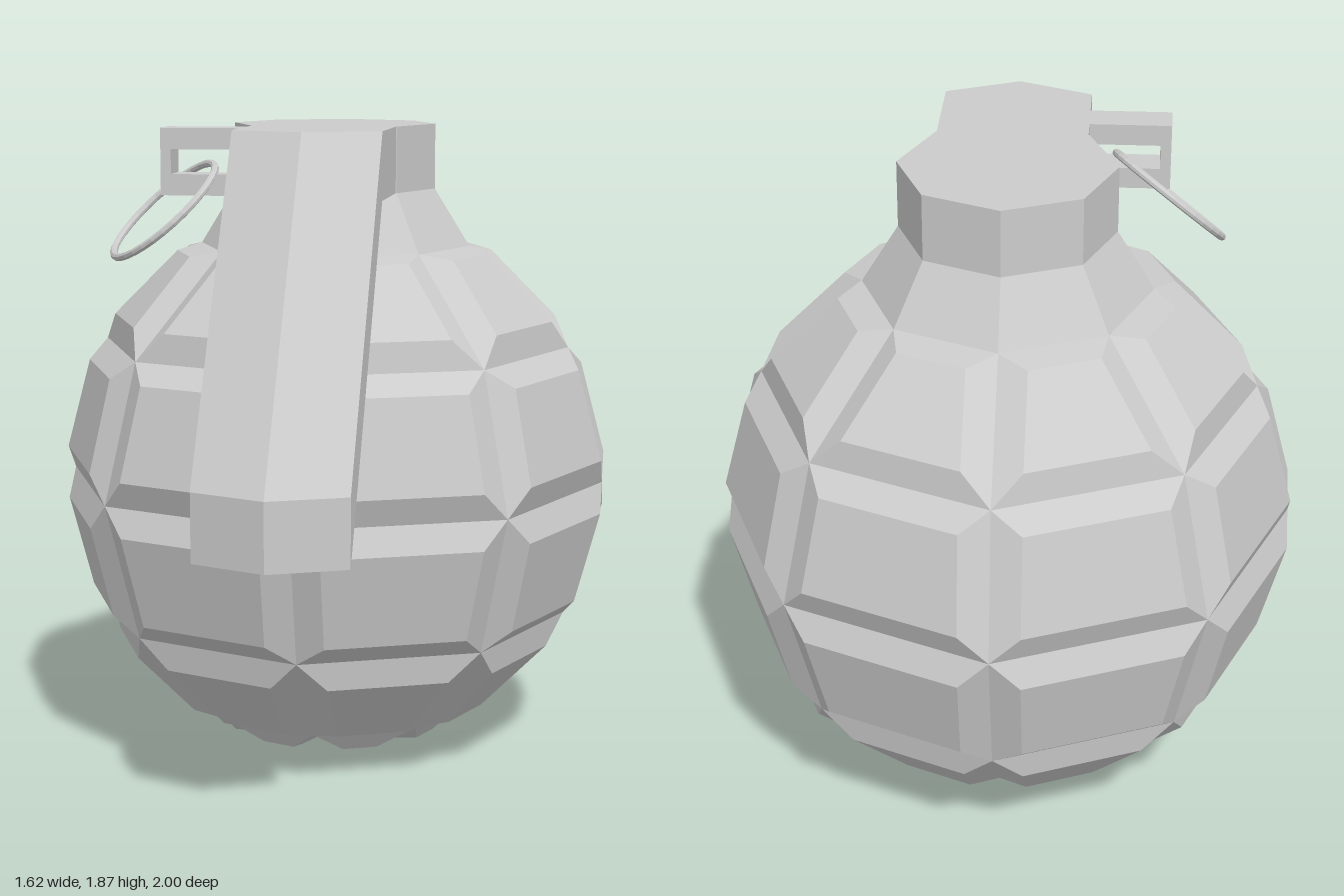
import * as THREE from 'three';

const V = (x, y, z) => new THREE.Vector3(x, y, z);
const material = new THREE.MeshStandardMaterial({ color: 0xcccccc, flatShading: true });
const BODY_Z = -0.19, SIDES = 8, R = 0.81;

// Fan-triangulates convex polygons into a flat-shaded geometry
function polygons(faces) {
  const pts = [];
  for (const f of faces)
    for (let i = 1; i < f.length - 1; i++) pts.push(f[0], f[i], f[i + 1]);
  const geo = new THREE.BufferGeometry().setFromPoints(pts);
  geo.computeVertexNormals();
  return geo;
}

function add(parent, name, geo) {
  const mesh = new THREE.Mesh(geo, material);
  mesh.name = name;
  parent.add(mesh);
  return mesh;
}

// Insets a polygon by d, raises it by h, and returns the panel with its bevels
function raisedPanel(face, d, h) {
  const n = face.length;
  const normal = face[1].clone().sub(face[0]).cross(face[2].clone().sub(face[0])).normalize();
  const inner = face.map((p, i) => {
    const a = face[(i + n - 1) % n].clone().sub(p).normalize();
    const b = face[(i + 1) % n].clone().sub(p).normalize();
    const s = d / Math.sin(a.angleTo(b));
    return p.clone().addScaledVector(a.add(b), s).addScaledVector(normal, h);
  });
  const bevels = face.map((p, i) => [p, face[(i + 1) % n], inner[(i + 1) % n], inner[i]]);
  return [inner, ...bevels];
}

// Point on the faceted body: ring 0 is the bottom pole
function bodyPoint(ring, side) {
  const lat = -Math.PI / 2 + ring * Math.PI / 6, a = side * 2 * Math.PI / SIDES;
  const r = R * Math.cos(lat);
  return V(r * Math.sin(a), R + R * Math.sin(lat), r * Math.cos(a));
}

// Lever: the same peaked section carried along a bent path
function leverGeometry() {
  const path = [[0.02, 1.87], [0.32, 1.87], [0.91, 0.97]];
  const sections = path.map(([z, y]) => [
    V(-0.21, y, z), V(-0.21, y - 0.19, z), V(0, y - 0.19, z + 0.09),
    V(0.21, y - 0.19, z), V(0.21, y, z), V(0, y, z + 0.09)]);
  const faces = [];
  for (let s = 0; s < 2; s++)
    for (let i = 0; i < 6; i++) {
      const k = (i + 1) % 6, a = sections[s], b = sections[s + 1];
      faces.push([a[i], a[k], b[k], b[i]]);
    }
  const e = sections[2];
  faces.push([e[0], e[1], e[2], e[5]], [e[5], e[2], e[3], e[4]]);
  return polygons(faces);
}

export function createModel() {
  const model = new THREE.Group();
  model.name = 'grenade';

  // Segmented body
  const faces = [];
  for (let ring = 0; ring < 5; ring++)
    for (let s = 0; s < SIDES; s++) {
      const upper = [bodyPoint(ring + 1, s + 1), bodyPoint(ring + 1, s)];
      const lower = ring === 0 ? [bodyPoint(0, 0)] : [bodyPoint(ring, s), bodyPoint(ring, s + 1)];
      faces.push(...raisedPanel([...lower, ...upper], 0.07, 0.05));
    }
  add(model, 'body', polygons(faces)).position.z = BODY_Z;

  // Tapered neck and cap
  const profile = [[0.405, 1.51], [0.3, 1.68], [0.3, 1.87], [0, 1.87]];
  const neck = new THREE.LatheGeometry(profile.map(([x, y]) => new THREE.Vector2(x, y)), SIDES);
  add(model, 'neck', neck).position.z = BODY_Z;

  // Safety lever
  add(model, 'lever', leverGeometry());

  // Pin bracket: a C-shaped frame on the lever's right side
  const frame = new THREE.Shape([[-0.2, 1.68], [-0.2, 1.74], [-0.41, 1.74], [-0.41, 1.81],
    [-0.2, 1.81], [-0.2, 1.87], [-0.44, 1.87], [-0.44, 1.68]].map(p => new THREE.Vector2(...p)));
  const bracket = new THREE.ExtrudeGeometry(frame, { depth: 0.1, bevelEnabled: false });
  add(model, 'pinBracket', bracket).position.z = 0.1;

  // Pull ring hanging through the bracket
  const ring = add(model, 'pullRing', new THREE.TorusGeometry(0.193, 0.011, 8, 32));
  const u = V(0.78, 0.63, 0).normalize(), v = V(0.19, -0.24, 0.95).normalize();
  ring.quaternion.setFromRotationMatrix(new THREE.Matrix4().makeBasis(u, v, u.clone().cross(v)));
  ring.position.set(-0.44, 1.635, 0.16);

  return model;
}
